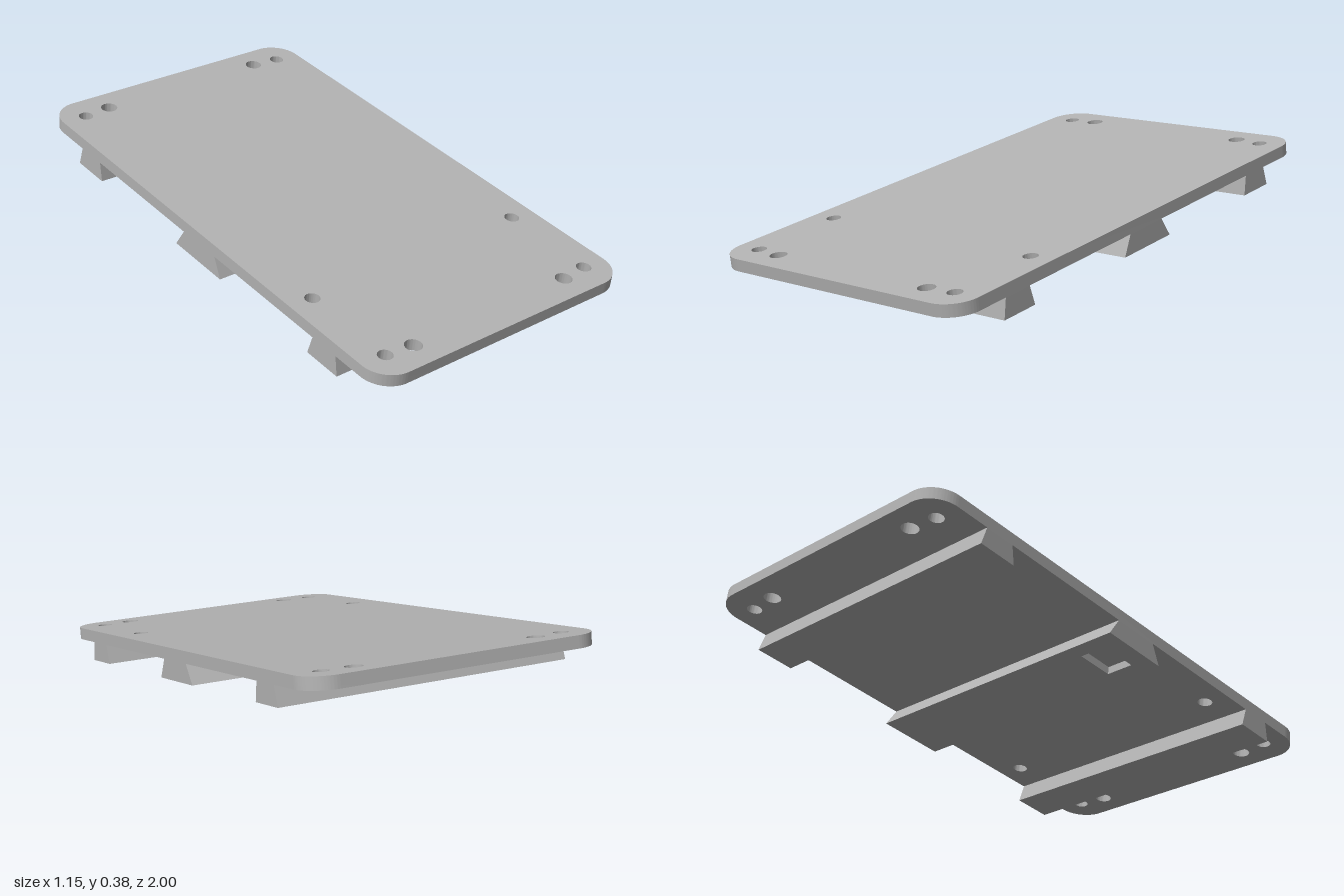
import * as THREE from 'three';
import { toCreasedNormals } from 'three/addons/utils/BufferGeometryUtils.js';

const HALF_W = 0.577, HALF_L = 1.007, THICK = 0.046, CORNER = 0.11;
const RAIL_BOTTOM = -0.12, TILT = Math.asin(0.146);

// Flat plate with rounded corners and round through holes, top face at y = 0
function plateGeometry() {
  const w = HALF_W, l = HALF_L, r = CORNER;
  const s = new THREE.Shape();
  s.moveTo(w, -l + r);
  s.absarc(w - r, l - r, r, 0, Math.PI / 2);
  s.absarc(-w + r, l - r, r, Math.PI / 2, Math.PI);
  s.absarc(-w + r, -l + r, r, Math.PI, Math.PI * 1.5);
  s.absarc(w - r, -l + r, r, Math.PI * 1.5, Math.PI * 2);

  const holes = [
    [0.475, 0.897, 0.028], [0.36, 0.908, 0.032],
    [0.475, -0.897, 0.028], [0.36, -0.908, 0.032],
    [0.48, 0.523, 0.028],
  ];
  for (const [x, z, radius] of holes) {
    for (const side of [1, -1]) {
      const hole = new THREE.Path();
      hole.absarc(side * x, -z, radius, 0, Math.PI * 2, true);
      s.holes.push(hole);
    }
  }
  const g = new THREE.ExtrudeGeometry(s, { depth: THICK, bevelEnabled: false, curveSegments: 24 });
  g.rotateX(-Math.PI / 2).translate(0, -THICK, 0);
  return toCreasedNormals(g, 0.6);
}

// Dovetail bar running across from x0 to x1; notch = [half width, depth] cut in its underside
function railGeometry(z, halfTop, halfBottom, x0, x1, notch) {
  const points = [[-halfTop, -THICK], [-halfBottom, RAIL_BOTTOM]];
  if (notch) {
    const [n, d] = notch;
    points.push([-n, RAIL_BOTTOM], [-n, RAIL_BOTTOM + d], [n, RAIL_BOTTOM + d], [n, RAIL_BOTTOM]);
  }
  points.push([halfBottom, RAIL_BOTTOM], [halfTop, -THICK]);
  const shape = new THREE.Shape(points.map(([a, b]) => new THREE.Vector2(a - z, b)));
  const g = new THREE.ExtrudeGeometry(shape, { depth: x1 - x0, bevelEnabled: false });
  return g.rotateY(Math.PI / 2).translate(x0, 0, 0);
}

export function createModel() {
  const grey = new THREE.MeshStandardMaterial({ color: 0xb2b2b2 });
  grey.name = 'plain grey';

  const model = new THREE.Group();
  model.name = 'mountingPlate';
  const board = new THREE.Group();
  board.name = 'tiltedBoard';
  board.position.set(0, 0.236, 0.003);
  board.rotation.x = TILT;
  model.add(board);

  const add = (name, geometry, parent = board) => {
    const mesh = new THREE.Mesh(geometry, grey);
    mesh.name = name;
    parent.add(mesh);
  };

  add('plate', plateGeometry());
  add('frontRail', railGeometry(0.71, 0.0605, 0.078, -HALF_W, HALF_W));
  add('backRail', railGeometry(-0.7, 0.0605, 0.078, -HALF_W, HALF_W));

  // Middle rail, in three lengths so that one holds the shallow pocket
  const middle = new THREE.Group();
  middle.name = 'middleRail';
  board.add(middle);
  const pocket = [-0.5, -0.39];
  const mid = [0.003, 0.093, 0.134];
  add('middleRailEnd', railGeometry(...mid, -HALF_W, pocket[0]), middle);
  add('middleRailPocket', railGeometry(...mid, ...pocket, [0.073, 0.03]), middle);
  add('middleRailMain', railGeometry(...mid, pocket[1], HALF_W), middle);

  return model;
}
